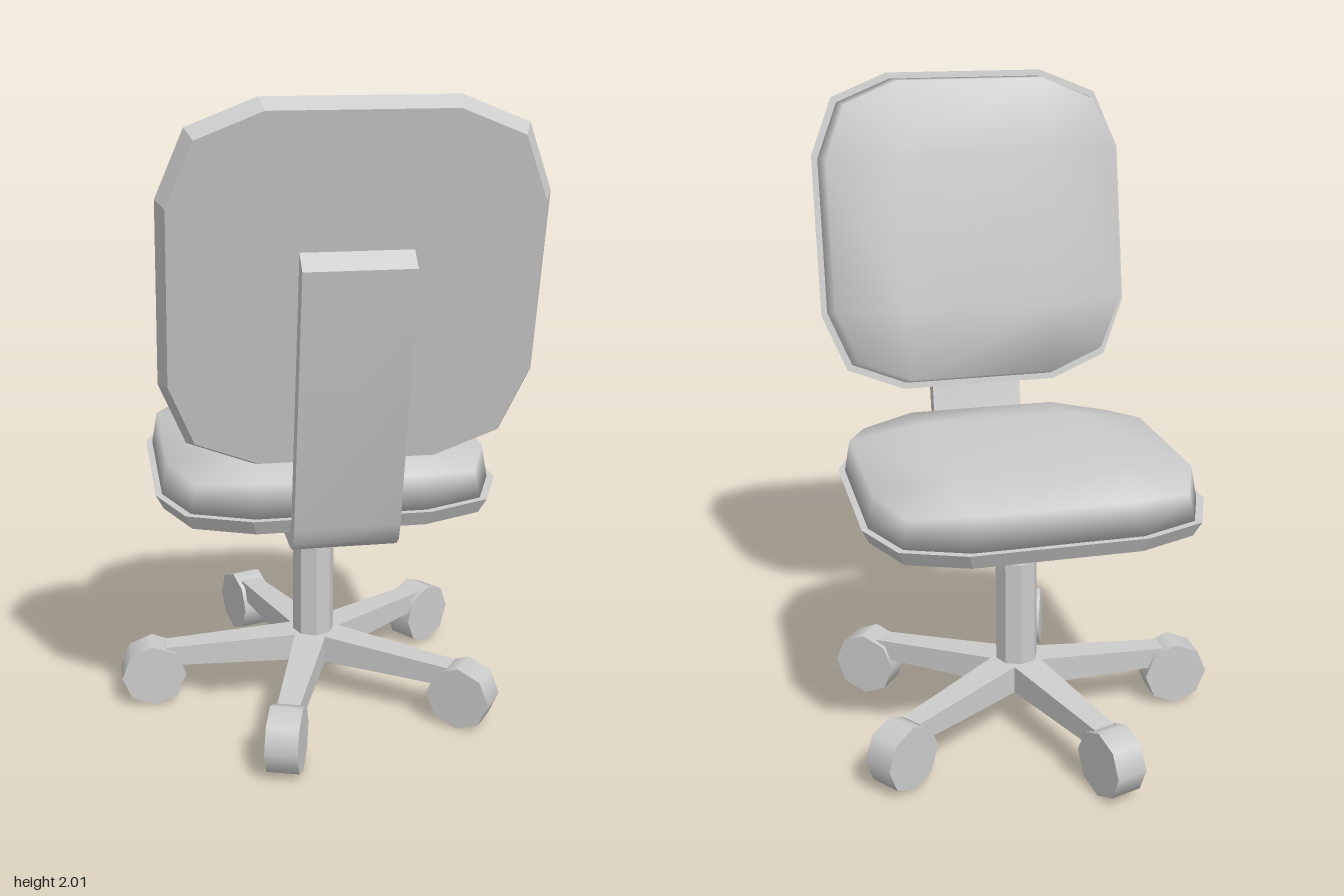
import * as THREE from 'three';
import { mergeVertices, toCreasedNormals } from 'three/addons/utils/BufferGeometryUtils.js';

const smooth = new THREE.MeshStandardMaterial({ color: 0xcccccc });
const flat = new THREE.MeshStandardMaterial({ color: 0xcccccc, flatShading: true });

function addMesh(parent, name, geometry, material) {
  const mesh = new THREE.Mesh(geometry, material);
  mesh.name = name;
  parent.add(mesh);
  return mesh;
}

// Twelve-point rounded square: three corner points turned through four quarters
function outline(scale, y, cornerDrop = 0) {
  const ring = [];
  for (let q = 0; q < 4; q++) {
    [[0.52, 0.26], [0.445, 0.445], [0.26, 0.52]].forEach(([x, z], i) => {
      for (let k = 0; k < q; k++) [x, z] = [-z, x];
      ring.push([x * scale, y - (i === 1 ? cornerDrop : 0), z * scale]);
    });
  }
  return ring;
}

// Skin a stack of rings, lowest first, and close both ends
function loft(rings) {
  const n = rings[0].length;
  const pos = rings.flat(2);
  const index = [];
  for (let r = 0; r < rings.length - 1; r++) {
    for (let i = 0; i < n; i++) {
      const a = r * n + i, b = r * n + (i + 1) % n;
      index.push(a, a + n, b, b, a + n, b + n);
    }
  }
  const last = rings.length - 1, low = rings.length * n, high = low + 1;
  pos.push(0, rings[0][0][1], 0, 0, rings[last][0][1], 0);
  for (let i = 0; i < n; i++) {
    const j = (i + 1) % n;
    index.push(low, i, j, high, last * n + j, last * n + i);
  }
  const g = new THREE.BufferGeometry();
  g.setAttribute('position', new THREE.Float32BufferAttribute(pos, 3));
  g.setIndex(index);
  const merged = mergeVertices(g);
  merged.computeVertexNormals();
  return merged;
}

// Shell plate with a domed cushion on its local +y side
function paddedPanel(name) {
  const panel = new THREE.Group();
  panel.name = name;
  addMesh(panel, name + 'Shell', loft([outline(0.955, -0.047), outline(1, 0)]), flat);
  const clamp = v => THREE.MathUtils.clamp(v, -0.26, 0.26);
  const crown = outline(1, 0.13).map(([x, y, z]) => [clamp(x), y, clamp(z)]);
  const cushion = [outline(0.962, 0), outline(0.93, 0.1, 0.02), crown];
  addMesh(panel, name + 'Cushion', loft(cushion), smooth);
  return panel;
}

// Bent bar running under the seat and up behind the backrest
function bracketGeometry() {
  const points = [
    [-0.152, 0.72], [0.503, 0.72], [0.538, 0.727], [0.566, 0.752], [0.584, 0.804],
    [0.728, 1.568], [0.681, 1.61], [0.533, 0.82], [0.518, 0.777], [0.498, 0.763], [-0.152, 0.763],
  ];
  const shape = new THREE.Shape(points.map(p => new THREE.Vector2(...p)));
  const g = new THREE.ExtrudeGeometry(shape, { depth: 0.305, bevelEnabled: false });
  g.translate(0, 0, -0.1525).rotateY(-Math.PI / 2);
  return toCreasedNormals(g, 0.7);
}

// Five-armed star whose top slopes down towards the casters
function starGeometry() {
  const points = [];
  for (let k = 0; k < 5; k++) {
    const a = Math.PI + k * Math.PI * 0.4;
    const add = (r, side) => points.push(new THREE.Vector2(
      Math.cos(a) * r - Math.sin(a) * side, Math.sin(a) * r + Math.cos(a) * side));
    add(0.49, -0.035);
    add(0.49, 0.035);
    add(0.069, 0.05);
  }
  const g = new THREE.ExtrudeGeometry(new THREE.Shape(points), { depth: 1, bevelEnabled: false });
  g.rotateX(-Math.PI / 2);
  const p = g.attributes.position;
  for (let i = 0; i < p.count; i++) {
    const r = Math.hypot(p.getX(i), p.getZ(i));
    p.setY(i, p.getY(i) > 0.5 ? 0.222 - 0.055 * r : 0.127 + 0.01 * r);
  }
  g.computeVertexNormals();
  return g;
}

export function createModel() {
  const model = new THREE.Group();
  model.name = 'officeChair';
  const chair = new THREE.Group();
  chair.name = 'chair';
  chair.position.set(0.045, 0, -0.068);
  model.add(chair);

  // Seat and tilted backrest
  const seat = paddedPanel('seat');
  seat.position.y = 0.81;
  const back = paddedPanel('backrest');
  back.position.set(0, 1.497, 0.61);
  back.rotation.x = -THREE.MathUtils.degToRad(79.4);
  chair.add(seat, back);
  addMesh(chair, 'backBracket', bracketGeometry(), smooth);

  // Gas lift column
  addMesh(chair, 'upperColumn', new THREE.CylinderGeometry(0.047, 0.047, 0.24, 8), flat).position.y = 0.62;
  addMesh(chair, 'lowerColumn', new THREE.CylinderGeometry(0.067, 0.067, 0.41, 8), flat).position.y = 0.355;

  // Star base with a caster on each arm
  addMesh(chair, 'starBase', starGeometry(), flat);
  const wheel = new THREE.CylinderGeometry(0.104, 0.104, 0.1, 8).rotateX(Math.PI / 2);
  for (let k = 0; k < 5; k++) {
    const arm = new THREE.Group();
    arm.name = 'casterArm' + (k + 1);
    arm.rotation.y = k * Math.PI * 0.4;
    addMesh(arm, 'casterWheel', wheel, smooth).position.set(-0.532, 0.104, 0);
    chair.add(arm);
  }
  return model;
}
